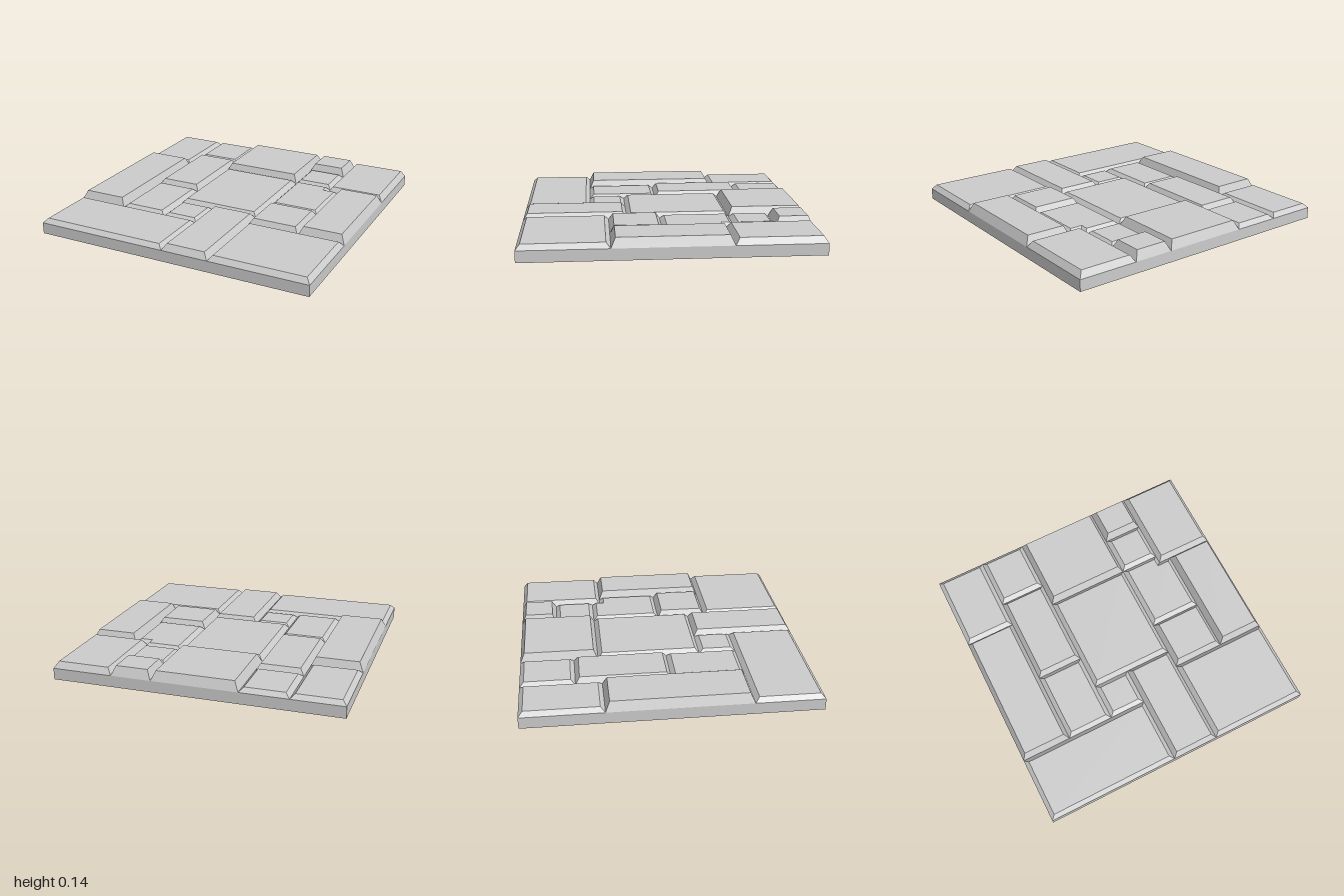
import * as THREE from 'three';

const BASE = 0.08;   // slab thickness, also the bottom of the grooves
const BEVEL = 0.03;  // horizontal inset of each stone's top

const material = new THREE.MeshStandardMaterial({ color: 0xcccccc, flatShading: true });

// Corners run front-left, front-right, back-right, back-left as [x, z]
const rect = (x0, x1, z0, z1) => [[x0, z1], [x1, z1], [x1, z0], [x0, z0]];

// Moves every corner of a right-angled outline inward by d
function inset(outline, d) {
  const n = outline.length;
  const inward = (a, b) => {
    const dx = b[0] - a[0], dz = b[1] - a[1], len = Math.hypot(dx, dz);
    return [dz / len, -dx / len];
  };
  return outline.map((p, i) => {
    const n1 = inward(outline[(i + n - 1) % n], p);
    const n2 = inward(p, outline[(i + 1) % n]);
    return [p[0] + d * (n1[0] + n2[0]), p[1] + d * (n1[1] + n2[1])];
  });
}

// Stone with sloping sides and a flat top
function stoneGeometry(outline, height) {
  const top = inset(outline, BEVEL);
  const pos = [];
  const add = (p, y) => pos.push(p[0], y, p[1]);
  outline.forEach((a, i) => {
    const j = (i + 1) % outline.length;
    add(a, BASE); add(outline[j], BASE); add(top[j], height);
    add(a, BASE); add(top[j], height); add(top[i], height);
  });
  const flat = top.map(([x, z]) => new THREE.Vector2(x, -z));
  for (const face of THREE.ShapeUtils.triangulateShape(flat, [])) {
    face.forEach((k) => add(top[k], height));
  }
  const geo = new THREE.BufferGeometry();
  geo.setAttribute('position', new THREE.Float32BufferAttribute(pos, 3));
  geo.computeVertexNormals();
  return geo;
}

export function createModel() {
  const group = new THREE.Group();
  group.name = 'pavingTile';
  const addPart = (name, geometry) => {
    const mesh = new THREE.Mesh(geometry, material);
    mesh.name = name;
    group.add(mesh);
  };

  // Base slab
  addPart('baseSlab', new THREE.BoxGeometry(2, BASE, 2).translate(0, BASE / 2, 0));

  // Groove lines shared by neighbouring stones
  const xa = -0.64, xb = -0.305, xc = -0.042, xd = 0.295, xe = 0.578, xf = 0.667;

  // Rectangular stones: name, x0, x1, z0, z1, top height
  const stones = [
    ['backRightStone', -1, xa, -1, -0.445, 0.11],
    ['rightLongStone', -1, xa, -0.445, 0.53, 0.145],
    ['backNarrowStone', xa, xb, -1, -0.625, 0.11],
    ['middleNarrowStone', xa, xb, -0.625, 0.027, 0.125],
    ['frontNarrowStone', xa, xb, 0.027, 0.53, 0.11],
    ['backCentreStone', xb, xd, -1, -0.455, 0.145],
    ['centreStone', xb, xd, -0.455, 0.27, 0.115],
    ['smallCentreStone', xb, xc, 0.27, 0.53, 0.105],
    ['frontCentreStone', xc, xd, 0.27, 1, 0.125],
    ['frontRightStone', -1, xc, 0.53, 1, 0.11],
    ['smallBackStone', xd, xe, -1, -0.74, 0.145],
    ['smallInnerStone', xd, xe, -0.74, -0.455, 0.11],
    ['backLeftStone', xe, 1, -1, -0.395, 0.125],
    ['leftLongStone', xf, 1, -0.395, 0.4, 0.145],
    ['squareInnerStone', xd, xf, 0.04, 0.4, 0.13],
    ['frontLeftStone', xd, 1, 0.4, 1, 0.115],
  ];
  for (const [name, x0, x1, z0, z1, height] of stones) {
    addPart(name, stoneGeometry(rect(x0, x1, z0, z1), height));
  }

  // Stone notched around the back left stone
  addPart('notchedStone', stoneGeometry([
    [xd, 0.04], [xf, 0.04], [xf, -0.395], [xe, -0.395], [xe, -0.455], [xd, -0.455],
  ], 0.11));

  return group;
}
